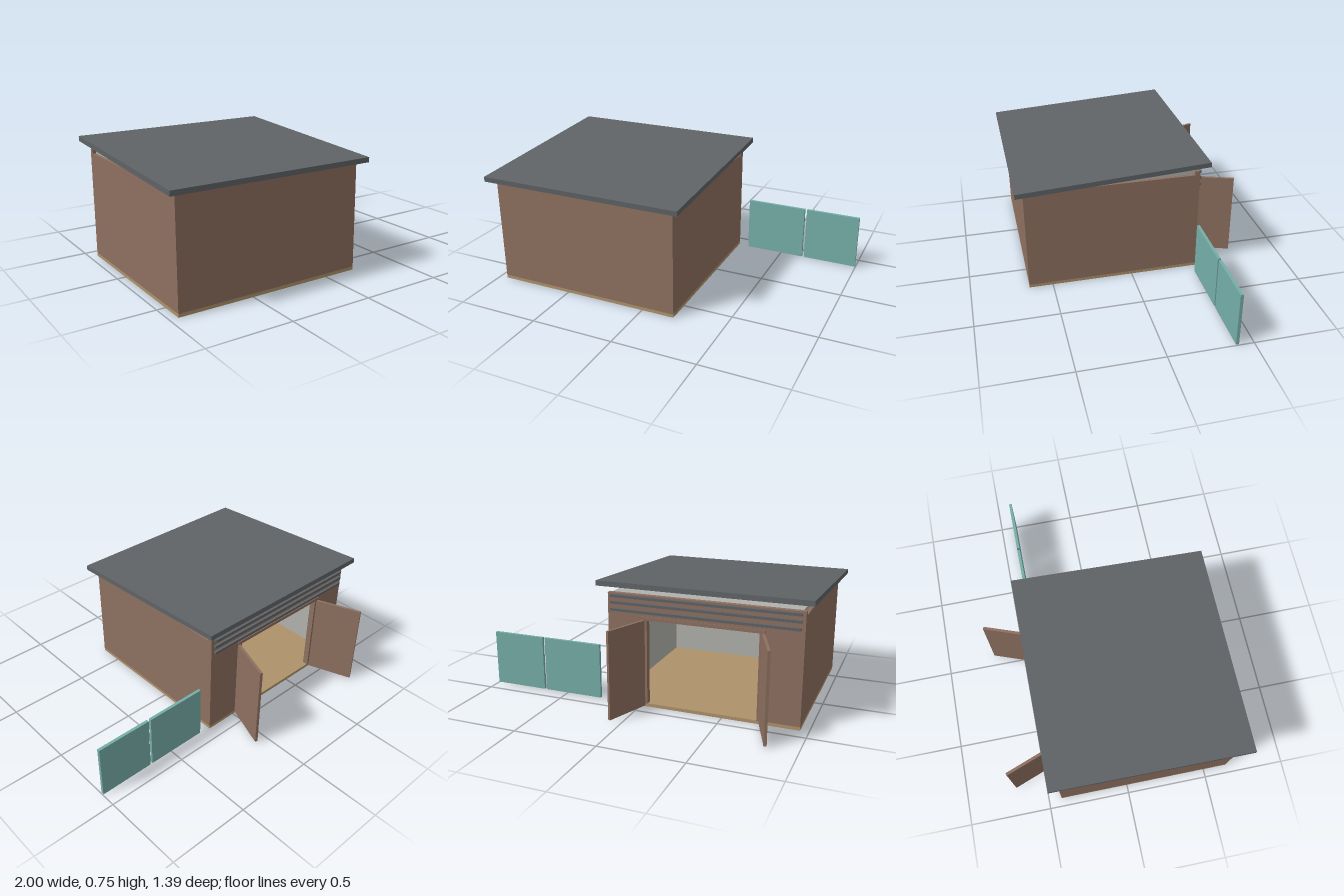
import * as THREE from 'three';

const mat = (name, color) => {
  const m = new THREE.MeshStandardMaterial({ color });
  m.name = name;
  return m;
};

export function createModel() {
  const group = new THREE.Group();
  const brown = mat('brown cladding', 0x8d7060);
  const slate = mat('slate grey', 0x5f6366);
  const tan = mat('tan floor', 0xae926a);
  const lining = mat('pale lining', 0xb0b0ac);
  const teal = mat('teal panel', 0x76aea8);

  // Box given by its minimum and maximum corners
  const box = (name, m, x0, x1, y0, y1, z0, z1, parent = group) => {
    const mesh = new THREE.Mesh(new THREE.BoxGeometry(x1 - x0, y1 - y0, z1 - z0), m);
    mesh.position.set((x0 + x1) / 2, (y0 + y1) / 2, (z0 + z1) / 2);
    mesh.name = name;
    parent.add(mesh);
    return mesh;
  };

  const L = -0.95, R = 0.2, F = 0.645, B = -0.42; // shed footprint
  const base = 0.02, top = 0.65, mid = (L + R) / 2;

  // Floor, outer walls and inner lining
  box('floor', tan, L, R, 0, base, B, F);
  box('frontWall', brown, L, R, base, top, F - 0.02, F);
  box('frontLining', lining, L + 0.02, R - 0.02, base, top, F - 0.03, F - 0.02);
  box('rightWall', brown, L, L + 0.02, base, top, B + 0.03, F - 0.02);
  box('leftWall', brown, R - 0.02, R, base, top, B + 0.03, F - 0.02);
  box('rightLining', lining, L + 0.02, L + 0.03, base, top, B + 0.03, F - 0.03);
  box('leftLining', lining, R - 0.03, R - 0.02, base, top, B + 0.03, F - 0.03);
  box('ceiling', lining, L + 0.02, R - 0.02, top, 0.675, B + 0.03, F - 0.03);

  // Back wall around the doorway
  const half = 0.35, doorTop = 0.53;
  box('backWallRight', brown, L, mid - half, base, 0.675, B, B + 0.03);
  box('backWallLeft', brown, mid + half, R, base, 0.675, B, B + 0.03);
  box('backWallTop', brown, mid - half, mid + half, doorTop, 0.675, B, B + 0.03);
  box('doorLintel', brown, mid - half - 0.01, mid + half + 0.01, doorTop, doorTop + 0.02, B - 0.005, B + 0.01);

  // Door posts and two leaves swung outward
  for (const s of [-1, 1]) {
    const hinge = mid + s * half;
    const a = hinge - s * 0.02, b = hinge + s * 0.01;
    box('doorPost', brown, Math.min(a, b), Math.max(a, b), base, doorTop, B - 0.005, B + 0.032);
    const leaf = new THREE.Group();
    leaf.name = s > 0 ? 'leftDoor' : 'rightDoor';
    leaf.position.set(hinge, 0, B);
    leaf.rotation.y = -s * THREE.MathUtils.degToRad(20);
    box('doorLeaf', brown, -0.008, 0.008, 0.007, doorTop, -0.29, 0, leaf);
    group.add(leaf);
  }

  // Horizontal slats above the doorway
  for (const y of [0.577, 0.62, 0.659]) {
    box('slat', slate, L + 0.02, R - 0.02, y - 0.0075, y + 0.0075, B - 0.016, B);
  }

  // Sloping roof, higher at the back
  const roof = new THREE.Mesh(new THREE.BoxGeometry(1.25, 0.03, 1.167), slate);
  roof.name = 'roof';
  roof.position.set(-0.375, 0.7, 0.112);
  roof.rotation.x = Math.atan2(0.07, 1.165);
  group.add(roof);

  // Free-standing panels beside the shed
  box('screenPanel', teal, 0.27, 0.645, 0.004, 0.34, -0.411, -0.393);
  box('screenPanel', teal, 0.66, 0.997, 0.004, 0.34, -0.411, -0.393);

  return group;
}
